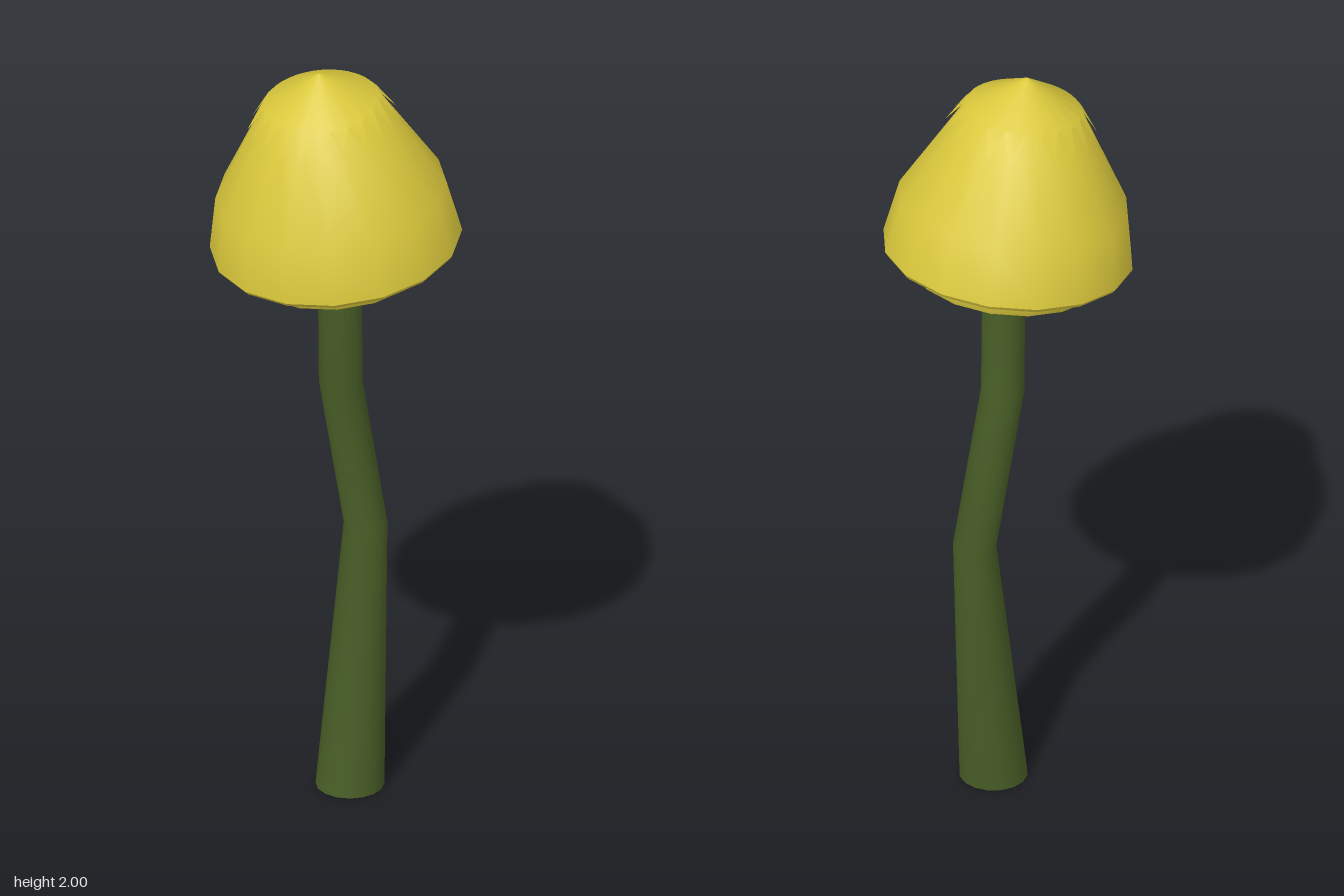
import * as THREE from 'three';

const capYellow = new THREE.MeshStandardMaterial({ color: 0xdac83c, side: THREE.DoubleSide });
capYellow.name = 'capYellow';
const stemGreen = new THREE.MeshStandardMaterial({ color: 0x485d26, side: THREE.DoubleSide });
stemGreen.name = 'stemGreen';

function addMesh(parent, name, geometry, material) {
  const mesh = new THREE.Mesh(geometry, material);
  mesh.name = name;
  parent.add(mesh);
}

// Profile runs from the bottom up
function lathe(profile) {
  return new THREE.LatheGeometry(profile.map(([r, y]) => new THREE.Vector2(r, y)), 16);
}

// Joins rings of points; each ring is a function of the step around it
function loft(rings, sides) {
  const positions = [], index = [];
  rings.forEach((ring) => {
    for (let i = 0; i < sides; i++) positions.push(...ring(i, (i / sides) * Math.PI * 2));
  });
  for (let k = 0; k < rings.length - 1; k++) {
    for (let i = 0; i < sides; i++) {
      const j = (i + 1) % sides;
      const a = k * sides + i, b = k * sides + j;
      index.push(a, b, b + sides, a, b + sides, a + sides);
    }
  }
  const geometry = new THREE.BufferGeometry();
  geometry.setAttribute('position', new THREE.Float32BufferAttribute(positions, 3));
  geometry.setIndex(index);
  geometry.computeVertexNormals();
  return geometry;
}

export function createModel() {
  const model = new THREE.Group();
  model.name = 'mushroom';

  // Bent stem, open at the foot: centre x, y, centre z, radius
  const stemRings = [
    [0.015, 0.005, -0.032, 0.085],
    [0, 0.7, -0.1, 0.054],
    [0, 1.12, -0.015, 0.054],
    [0, 1.48, -0.011, 0.054],
  ].map(([x, y, z, r]) => (i, a) => [x + Math.sin(a) * r, y, z + Math.cos(a) * r]);
  addMesh(model, 'stem', loft(stemRings, 16), stemGreen);

  // Cap, tipped towards the front
  const cap = new THREE.Group();
  cap.name = 'cap';
  cap.position.y = 1.512;
  cap.rotation.x = 0.122;
  model.add(cap);

  addMesh(cap, 'capDome', lathe([[0.312, 0.01], [0.286, 0.15], [0.148, 0.398], [0, 0.48]]), capYellow);
  addMesh(cap, 'capRim', lathe([[0.305, 0], [0.312, 0.01]]), capYellow);
  addMesh(cap, 'capUnderside', lathe([[0.24, 0], [0.305, 0]]), capYellow);
  addMesh(cap, 'innerRing', lathe([[0.24, -0.047], [0.25, -0.025], [0.25, 0]]), capYellow);
  addMesh(cap, 'innerDisc', lathe([[0, -0.047], [0.24, -0.047]]), capYellow);

  // Pointed crown with a zigzag edge, lying on the dome
  const points = 20;
  const crownRings = [
    (i, a) => {
      const [r, y] = i % 2 ? [0.19, 0.342] : [0.15, 0.404];
      return [Math.sin(a) * r, y, Math.cos(a) * r];
    },
    (i, a) => [Math.sin(a) * 0.142, 0.412, Math.cos(a) * 0.142],
    () => [0, 0.492, 0],
  ];
  addMesh(cap, 'crown', loft(crownRings, points * 2), capYellow);

  return model;
}
